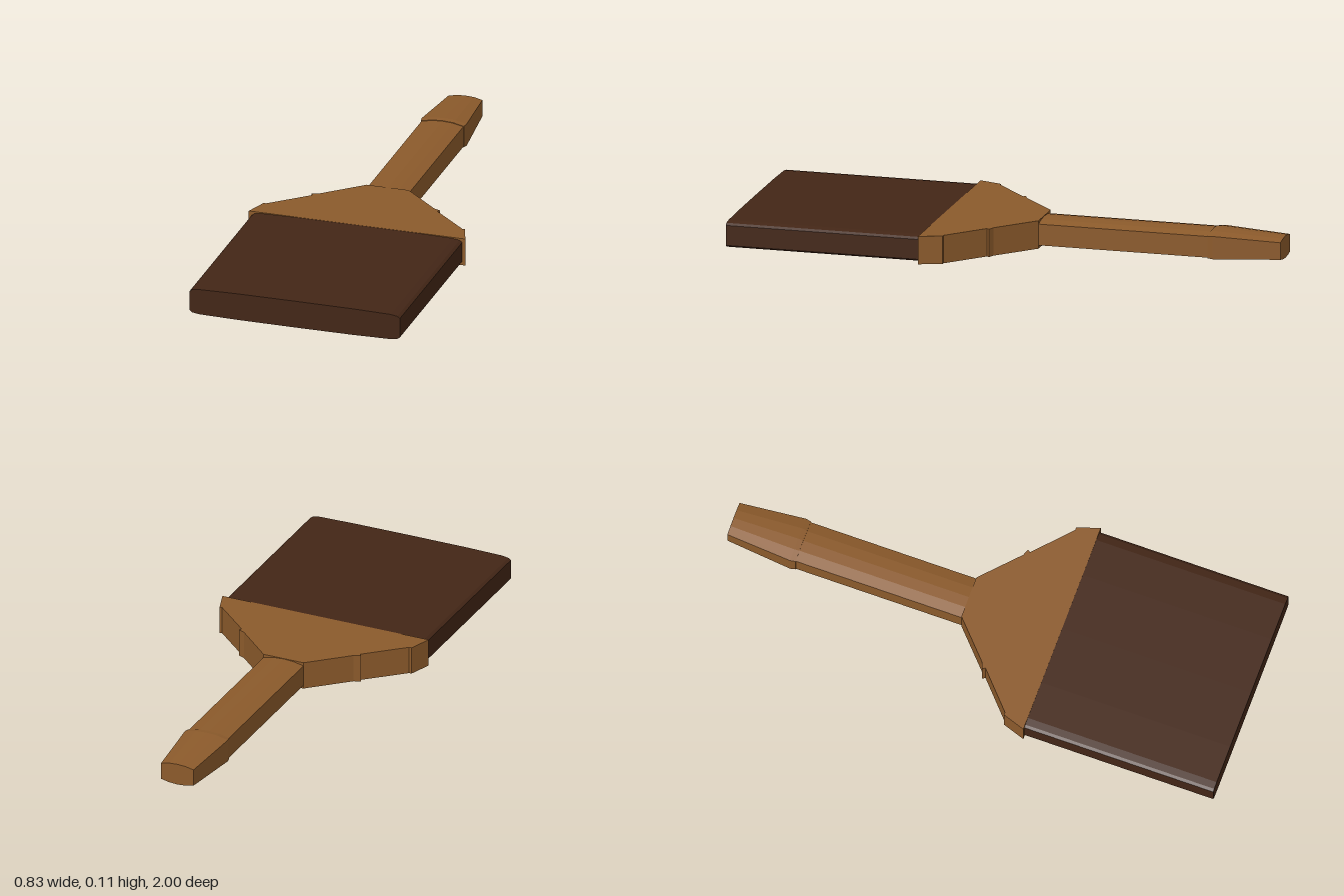
import * as THREE from 'three';

const MID = 0.055; // height of the centre plane

// Loft a crowned cross-section along z. Stations are [z, half width, half height].
function loft(profile, stations) {
  const right = profile; // from lower right edge upward to the top centre
  const upper = [...right, ...right.slice(0, -1).reverse().map(([x, y]) => [-x, y])];
  const ring = [...upper, ...upper.map(([x, y]) => [-x, -y])];
  const n = ring.length, pos = [], idx = [];
  stations.forEach(([z, w, h]) => ring.forEach(([x, y]) => pos.push(x * w, MID + y * h, z)));
  for (let s = 0; s < stations.length - 1; s++) {
    for (let i = 0; i < n; i++) {
      const a = s * n + i, b = s * n + (i + 1) % n;
      idx.push(a, b, b + n, a, b + n, a + n);
    }
  }
  const last = (stations.length - 1) * n;
  for (let i = 1; i < n - 1; i++) {
    idx.push(0, i + 1, i, last, last + i, last + i + 1);
  }
  const geo = new THREE.BufferGeometry();
  geo.setAttribute('position', new THREE.Float32BufferAttribute(pos, 3));
  geo.setIndex(idx);
  const flat = geo.toNonIndexed();
  flat.computeVertexNormals();
  return flat;
}

export function createModel() {
  const group = new THREE.Group();
  const wood = new THREE.MeshStandardMaterial({ color: 0x8b5a2b, flatShading: true });
  const dark = new THREE.MeshStandardMaterial({ color: 0x432616, flatShading: true });
  const add = (name, geo, mat) => {
    const mesh = new THREE.Mesh(geo, mat);
    mesh.name = name;
    group.add(mesh);
  };

  // Wide dark head with softly rounded long edges
  const headProfile = [[1, 0.72], [0.975, 0.86], [0.91, 0.94], [0.55, 0.99], [0, 1]];
  add('head', loft(headProfile, [[0.26, 0.402, 0.052], [1, 0.402, 0.052]]), dark);

  // Flat shoulder plate flaring from the handle to the head
  const side = [[0.08, -0.09], [0.22, 0.04], [0.245, 0.05], [0.238, 0.06], [0.375, 0.185], [0.385, 0.185], [0.414, 0.27]];
  const outline = [...side, ...side.map(([x, z]) => [-x, z]).reverse()];
  const shape = new THREE.Shape(outline.map(([x, z]) => new THREE.Vector2(x, -z)));
  const plate = new THREE.ExtrudeGeometry(shape, { depth: 0.105, bevelEnabled: false });
  plate.rotateX(-Math.PI / 2).translate(0, MID - 0.0525, 0);
  add('shoulder', plate, wood);

  // Handle shaft with a gently crowned top and bottom
  const gripProfile = [[1, 0.78], [0.5, 0.95], [0, 1]];
  add('handle', loft(gripProfile, [[-0.74, 0.08, 0.051], [-0.05, 0.08, 0.051]]), wood);

  // Tapered end with a slight raised lip where it meets the shaft
  add('handleTip', loft(gripProfile, [
    [-1, 0.065, 0.041], [-0.75, 0.086, 0.055], [-0.73, 0.082, 0.053],
  ]), wood);

  return group;
}
